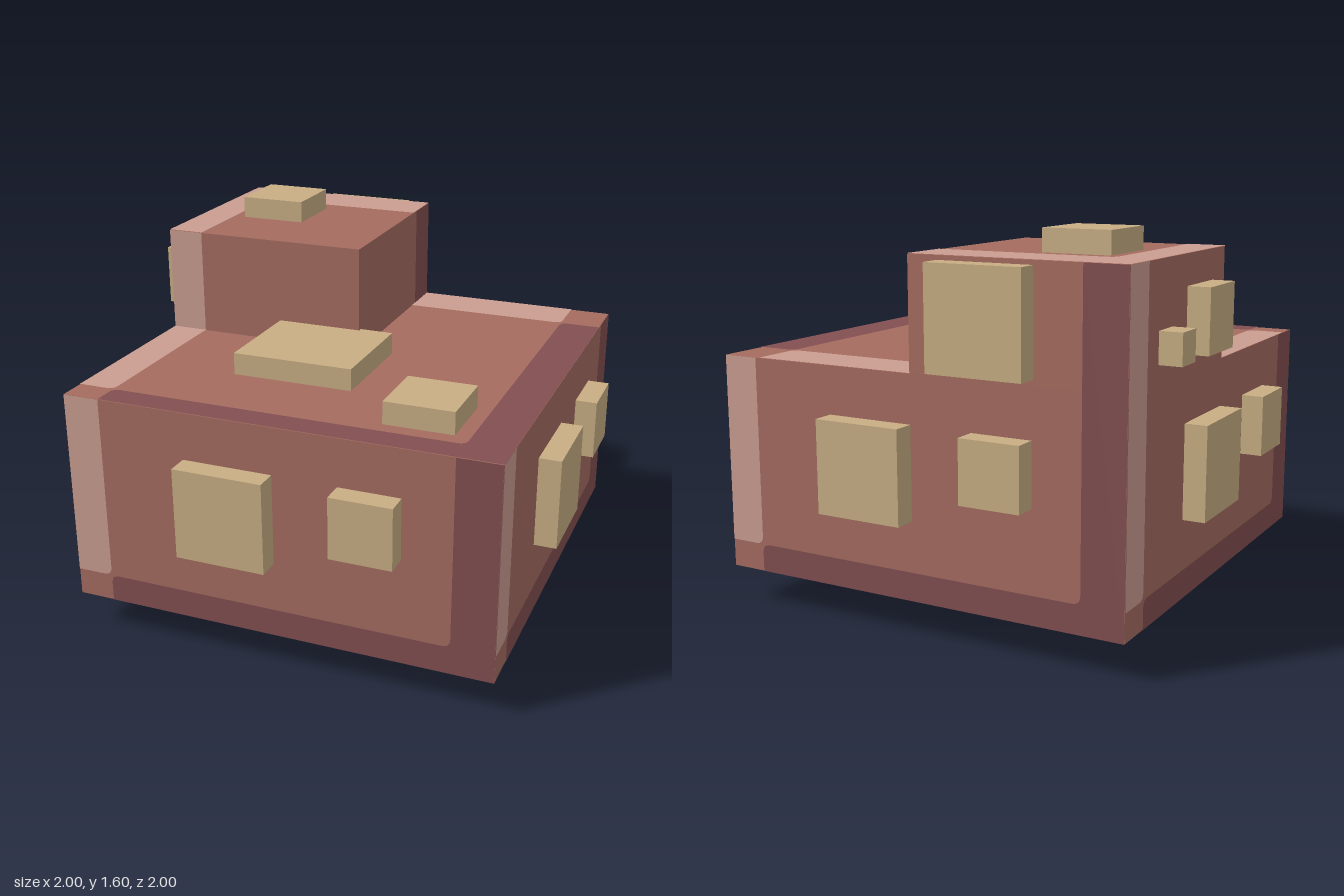
import * as THREE from 'three';

const H = 0.907;      // half width of the block
const MID = 1.057;    // height of the step, also the centre of every face pattern
const RISE = 0.453;   // height of the upper block
const PAD = 0.093;    // thickness of the raised pads
const R = 0.035;      // rounding of painted corners

// Rotations that turn a local (u right, v up) plane to face each way
const FACES = {
  front: [0, 0], right: [0, Math.PI / 2], back: [0, Math.PI],
  left: [0, -Math.PI / 2], top: [-Math.PI / 2, 0], bottom: [Math.PI / 2, 0],
};

const mat = (name, color) => {
  const m = new THREE.MeshStandardMaterial({ color });
  m.name = name;
  return m;
};

// Polygon from [u, v, radius?] corners
function outline(pts) {
  const s = new THREE.Shape();
  const n = pts.length;
  const toward = (a, b, r) => {
    const d = Math.hypot(b[0] - a[0], b[1] - a[1]);
    return [a[0] + (b[0] - a[0]) * r / d, a[1] + (b[1] - a[1]) * r / d];
  };
  pts.forEach((p, i) => {
    const r = p[2] || 0;
    const a = toward(p, pts[(i + n - 1) % n], r);
    const b = toward(p, pts[(i + 1) % n], r);
    if (i === 0) s.moveTo(...a); else s.lineTo(...a);
    if (r) s.quadraticCurveTo(p[0], p[1], b[0], b[1]);
  });
  return s;
}

export function createModel() {
  const model = new THREE.Group();
  model.name = 'steppedBlock';
  const clay = mat('clay', 0xa56c60);
  const light = mat('lightClay', 0xca9d91);
  const dark = mat('darkClay', 0x824f51);
  const sand = mat('sand', 0xc8ae84);

  const add = (name, geo, material, x, y, z) => {
    const m = new THREE.Mesh(geo, material);
    m.name = name;
    m.position.set(x, y, z);
    model.add(m);
    return m;
  };
  const turn = (m, face, dist) => {
    m.rotation.set(FACES[face][0], FACES[face][1], 0);
    m.translateZ(dist);
  };
  // Painted band lying on a face at a distance from the pattern centre
  const paint = (name, face, dist, material, pts) =>
    turn(add(name, new THREE.ShapeGeometry(outline(pts), 4), material, 0, MID, 0), face, dist + 0.002);
  // Raised pad on a face
  const pad = (face, dist, u0, u1, v0, v1) => {
    const geo = new THREE.BoxGeometry(u1 - u0, v1 - v0, PAD);
    geo.translate((u0 + u1) / 2, (v0 + v1) / 2, PAD / 2);
    turn(add(face + 'Pad', geo, sand, 0, MID, 0), face, dist);
  };

  // Lower slab and upper block in the back corner
  add('lowerBlock', new THREE.BoxGeometry(2 * H, H, 2 * H), clay, 0, MID - H / 2, 0);
  add('upperBlock', new THREE.BoxGeometry(H, RISE, H), clay, -H / 2, MID + RISE / 2, -H / 2);

  // Inner edges of the painted border
  const L = -0.75, Rt = 0.73, T = 0.69, B = -0.79;
  const darkL = (v, r) => [[L, -H], [H, -H], [H, v], [Rt, v, r], [Rt, B, R], [L, B, R]];
  const lightStrip = (v) => [[-H, B], [L, B, R], [L, v], [-H, v]];

  // Side borders and the two pads that repeat on every side
  const sides = { front: [0, 0], right: [0, 0], back: [0, RISE], left: [RISE, 0] };
  for (const [face, [lightTop, darkTop]] of Object.entries(sides)) {
    paint(face + 'LightBand', face, H, light, lightStrip(lightTop));
    paint(face + 'DarkBand', face, H, dark, darkL(darkTop, 0));
    pad(face, H, -0.38, 0, -0.582, -0.198);
    pad(face, H, 0.27, 0.527, -0.457, -0.2);
  }
  // Bands on the inner faces of the upper block
  paint('upperFrontLightBand', 'front', 0, light, [[-H, 0], [L, 0], [L, RISE], [-H, RISE]]);
  paint('upperRightDarkBand', 'right', 0, dark, [[Rt, 0], [H, 0], [H, RISE], [Rt, RISE]]);

  // Top borders, split between the two levels
  paint('topDarkBand', 'top', 0, dark, darkL(T, R));
  paint('topLeftLightBand', 'top', 0, light, lightStrip(0));
  paint('topBackLightBand', 'top', 0, light, [[0, T], [Rt, T, R], [Rt, H], [0, H]]);
  paint('upperTopLightBand', 'top', RISE, light,
    [[-H, 0], [L, 0], [L, T, R], [0, T], [0, H], [-H, H]]);

  // Underside border
  paint('bottomDarkBand', 'bottom', H, dark, darkL(T, R));
  paint('bottomLightBand', 'bottom', H, light,
    [[-H, B], [L, B, R], [L, T, R], [Rt, T, R], [Rt, H], [-H, H]]);

  // Pads on the upper block and the tops
  pad('back', H, 0.13, 0.535, 0.025, 0.435);
  pad('left', H, -0.385, -0.13, 0.07, 0.33);
  pad('left', H, -0.65, -0.525, 0.07, 0.195);
  pad('top', 0, -0.375, 0.145, -0.455, 0.02);
  pad('top', 0, 0.38, 0.667, -0.723, -0.437);
  pad('top', RISE, -0.702, -0.415, 0.335, 0.623);

  // Pads hovering just below the underside
  const low = MID - PAD;
  [
    [0.01, 0.415, 0.13, 0.535], [0.15, 0.405, -0.4, -0.145], [-0.5, -0.115, -0.53, -0.145],
    [-0.5, -0.242, 0.13, 0.388], [-0.647, -0.522, 0.5, 0.627],
  ].forEach((p) => pad('bottom', low, ...p));

  return model;
}
